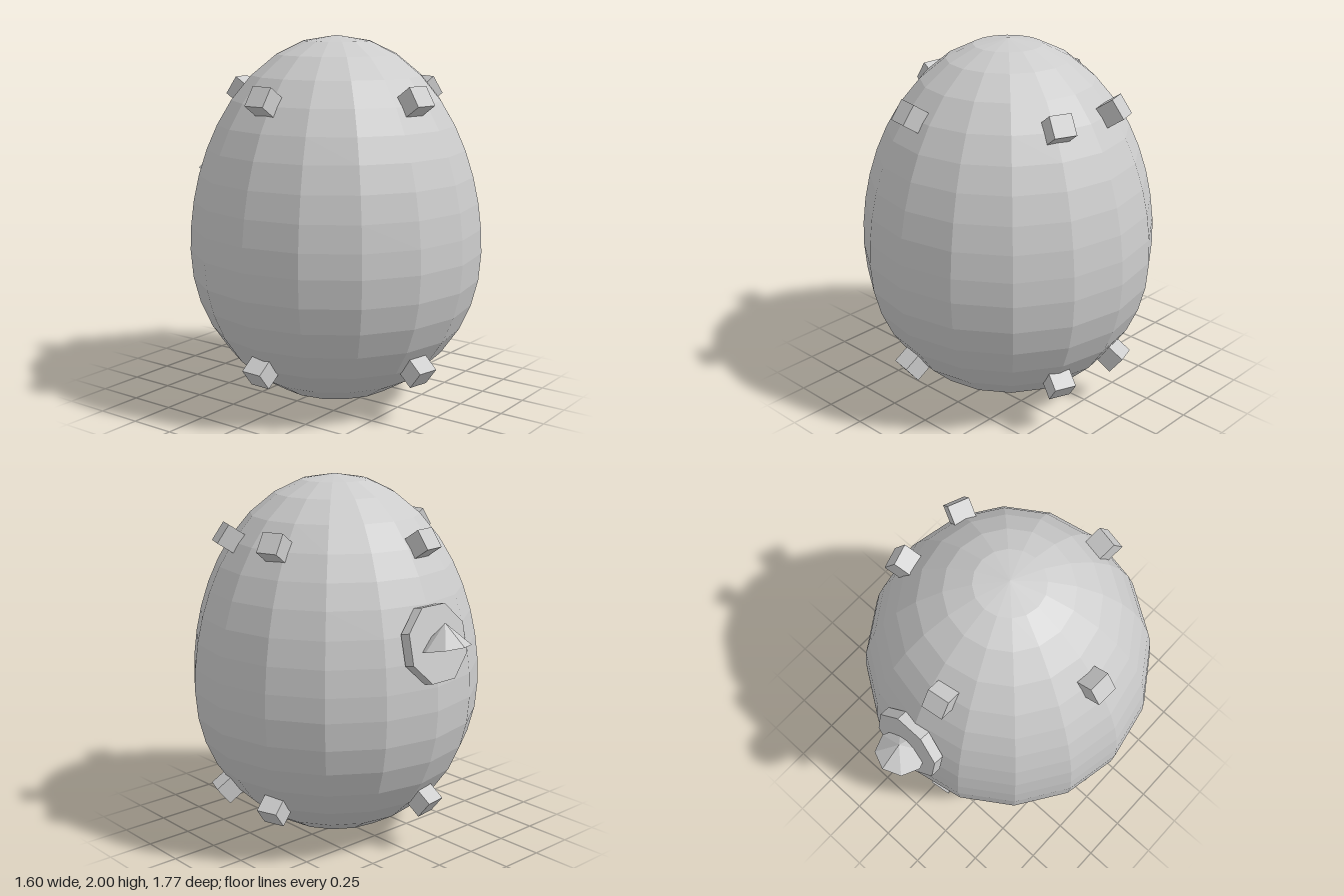
import * as THREE from 'three';

// Faceted copy of a geometry with one normal per face
function faceted(geometry) {
  const g = geometry.index ? geometry.toNonIndexed() : geometry;
  g.computeVertexNormals();
  return g;
}

export function createModel() {
  const model = new THREE.Group();
  model.name = 'studdedEgg';
  const grey = new THREE.MeshStandardMaterial({ color: 0xcccccc });
  grey.name = 'lightGrey';
  const rad = THREE.MathUtils.degToRad;
  const centreZ = 0.084;

  function add(name, geometry, parent = model) {
    const mesh = new THREE.Mesh(faceted(geometry), grey);
    mesh.name = name;
    parent.add(mesh);
    return mesh;
  }

  // Egg body: two half ellipses meeting at the widest ring
  const waist = 0.85;
  const rings = [0, 0.07, 0.16, 0.28, 0.42, 0.56, 0.7, 0.85, 0.98,
    1.12, 1.26, 1.4, 1.53, 1.66, 1.79, 1.9, 1.97, 2];
  const profile = rings.map((y) => {
    const t = (y - waist) / (y < waist ? waist : 2 - waist);
    return new THREE.Vector2(0.8 * Math.sqrt(Math.max(0, 1 - t * t)), y);
  });
  add('eggBody', new THREE.LatheGeometry(profile, 16)).position.z = centreZ;

  // Studs: an upper and a lower row, each facing along the shell's normal
  const rows = [
    { name: 'upperStud', y: 1.683, radius: 0.59, lift: 34 },
    { name: 'lowerStud', y: 0.287, radius: 0.632, lift: -38 },
  ];
  for (const row of rows) {
    for (let i = 0; i < 5; i++) {
      const angle = rad(68 - 80 * i);
      const stud = add(row.name + (i + 1), new THREE.BoxGeometry(0.12, 0.115, 0.112));
      stud.position.set(
        Math.sin(angle) * row.radius, row.y, centreZ + Math.cos(angle) * row.radius);
      stud.rotation.set(rad(-row.lift), angle, 0, 'YXZ');
    }
  }

  // Octagonal plate on the back, leaning with the shell
  const plate = new THREE.CylinderGeometry(0.211, 0.211, 0.06, 8, 1, false, Math.PI / 8);
  plate.rotateX(Math.PI / 2).translate(0, 0, -0.03);
  const plateMesh = add('backPlate', plate);
  plateMesh.position.set(0, 1.21, -0.709);
  plateMesh.rotation.set(rad(-12.5), Math.PI, 0, 'YXZ');

  // Pointed knob: a cone whose base rises away from the plate
  const knob = new THREE.ConeGeometry(0.136, 0.131, 8);
  knob.translate(0, 0.0655, 0);
  const p = knob.attributes.position;
  for (let i = 0; i < p.count; i++) p.setY(i, p.getY(i) - 0.21 * p.getZ(i));
  add('backKnob', knob).position.set(0, 1.194, -0.749);

  return model;
}
